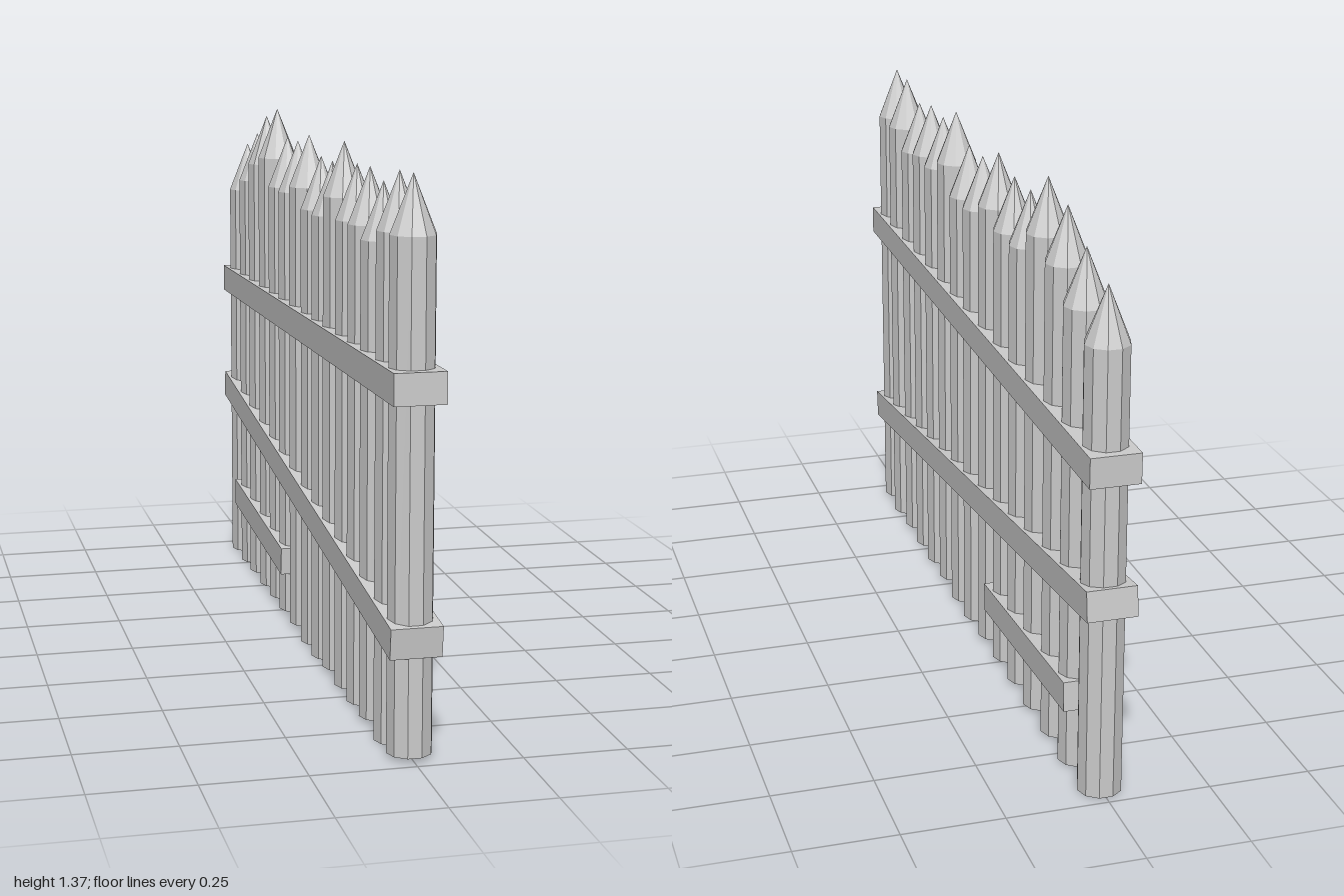
import * as THREE from 'three';

const material = new THREE.MeshStandardMaterial({ color: 0xcccccc, flatShading: true });
const RADIUS = 0.054, SIDES = 10, TIP = 0.135;

// One stake per entry: [z, base y, tip y], front to back
const STAKES = [
  [0.925, 0.01, 1.33], [0.81, 0, 1.325], [0.67, 0.01, 1.287], [0.545, 0.005, 1.308],
  [0.42, 0.005, 1.303], [0.29, 0.01, 1.346], [0.165, 0, 1.286], [0.04, 0, 1.287],
  [-0.1, 0.01, 1.33], [-0.235, 0.01, 1.303], [-0.365, 0.01, 1.303], [-0.5, 0.007, 1.37],
  [-0.645, 0.007, 1.34], [-0.78, 0.002, 1.28], [-0.927, 0, 1.238],
];

// Rails: [name, front z, front y, back z, back y]
const RAILS = [
  ['upperRail', 1, 0.865, -1, 0.828],
  ['middleRail', 0.985, 0.284, -0.995, 0.504],
  ['shortLowerRail', -0.18, 0.159, -0.84, 0.2],
];

// Faceted post with a pointed top
function createStake(z, base, tip) {
  const stake = new THREE.Group();
  const height = tip - TIP - base;
  const turn = Math.PI / SIDES;

  const post = new THREE.Mesh(
    new THREE.CylinderGeometry(RADIUS, RADIUS, height, SIDES, 1, false, turn), material);
  post.name = 'post';
  post.position.y = base + height / 2;

  const point = new THREE.Mesh(
    new THREE.ConeGeometry(RADIUS, TIP, SIDES, 1, true, turn), material);
  point.name = 'point';
  point.position.y = tip - TIP / 2;

  stake.add(post, point);
  stake.position.z = z;
  return stake;
}

// Slanted beam running through the stakes
function createRail(name, z0, y0, z1, y1) {
  const length = Math.hypot(z0 - z1, y0 - y1);
  const rail = new THREE.Mesh(new THREE.BoxGeometry(0.122, 0.074, length), material);
  rail.name = name;
  rail.position.set(0, (y0 + y1) / 2, (z0 + z1) / 2);
  rail.rotation.x = -Math.atan2(y0 - y1, z0 - z1);
  return rail;
}

export function createModel() {
  const fence = new THREE.Group();
  fence.name = 'palisadeFence';
  STAKES.forEach((s, i) => {
    const stake = createStake(...s);
    stake.name = `stake${i + 1}`;
    fence.add(stake);
  });
  RAILS.forEach((r) => fence.add(createRail(...r)));
  return fence;
}
